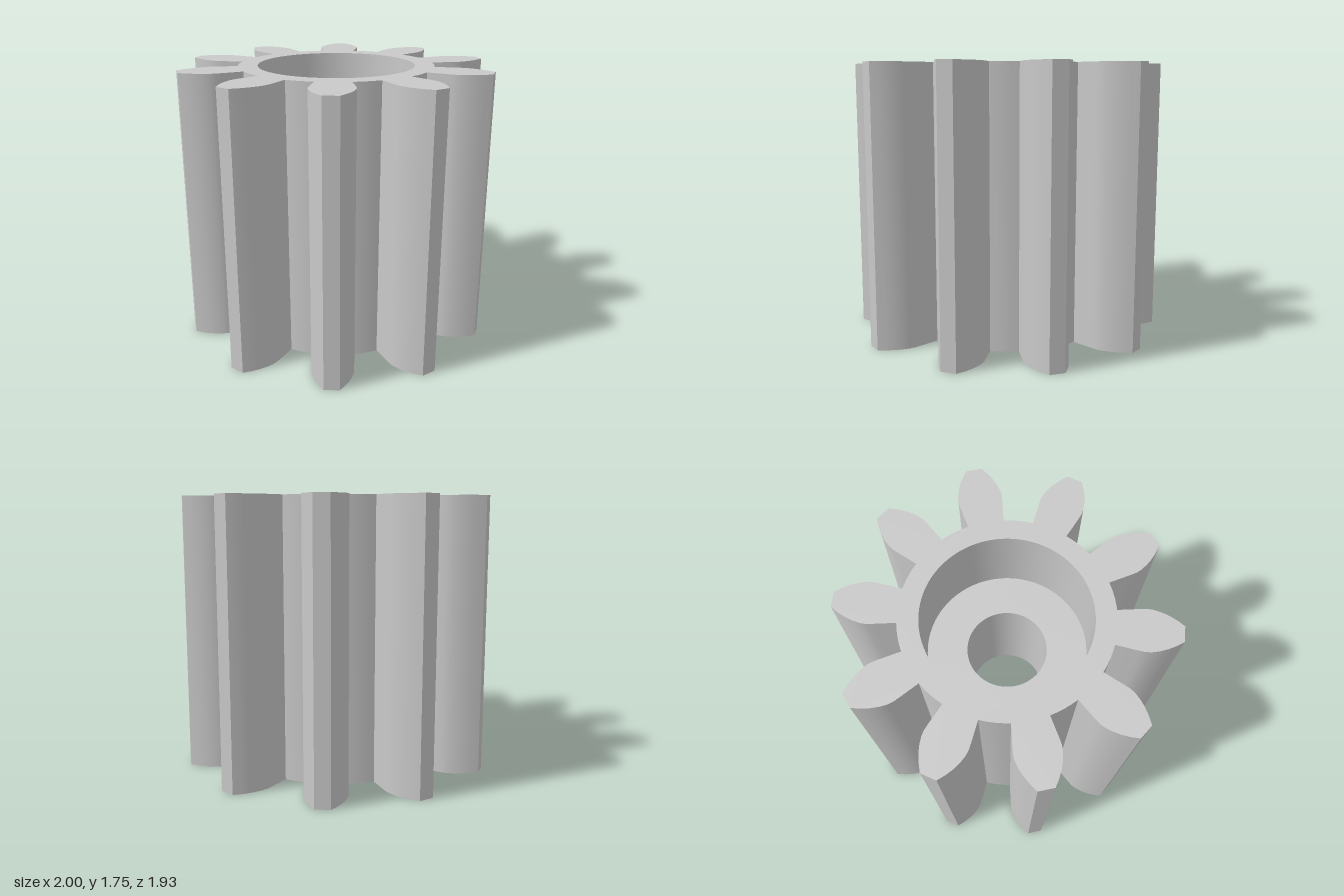
import * as THREE from 'three';
import { toCreasedNormals } from 'three/addons/utils/BufferGeometryUtils.js';

const TEETH = 10, HEIGHT = 1.75, BORE = 0.5, SHAFT = 0.25;
const WEB_BOTTOM = 0.5, WEB_TOP = 1.25;

// Half of a tooth from root to tip: [distance from axis, half width]
const FLANK = [
  [0.615, 0.107], [0.745, 0.127], [0.785, 0.132], [0.82, 0.13],
  [0.865, 0.119], [0.91, 0.102], [0.955, 0.078], [1, 0.048],
];

// Closed gear outline: up one flank, across the tip, down the other, along the root arc
function gearOutline() {
  const points = [];
  const pitch = (2 * Math.PI) / TEETH;
  const [rootX, rootY] = FLANK[0];
  const rootRadius = Math.hypot(rootX, rootY);
  const rootAngle = Math.atan2(rootY, rootX);
  const origin = new THREE.Vector2();
  for (let i = 0; i < TEETH; i++) {
    const a = i * pitch;
    const add = (x, y) => points.push(new THREE.Vector2(x, y).rotateAround(origin, a));
    FLANK.forEach(([r, w]) => add(r, -w));
    [...FLANK].reverse().forEach(([r, w]) => add(r, w));
    for (let k = 1; k < 4; k++) {
      const t = rootAngle + (k / 4) * (pitch - 2 * rootAngle);
      add(rootRadius * Math.cos(t), rootRadius * Math.sin(t));
    }
  }
  return points;
}

export function createModel() {
  const group = new THREE.Group();
  group.name = 'pinionGear';
  const metal = new THREE.MeshStandardMaterial({ color: 0xc9c9c9 });
  metal.name = 'light grey metal';

  // Toothed body with a wide bore
  const shape = new THREE.Shape(gearOutline());
  shape.holes.push(new THREE.Path().absarc(0, 0, BORE, 0, 2 * Math.PI, true));
  const bodyGeometry = new THREE.ExtrudeGeometry(shape, {
    depth: HEIGHT, bevelEnabled: false, curveSegments: 48,
  });
  bodyGeometry.rotateX(-Math.PI / 2);
  const body = new THREE.Mesh(toCreasedNormals(bodyGeometry, 0.5), metal);
  body.name = 'toothedBody';
  group.add(body);

  // Recessed web inside the bore: top face, shaft hole wall, underside
  const rim = BORE + 0.005;
  const profile = [[rim, WEB_TOP], [SHAFT, WEB_TOP], [SHAFT, WEB_BOTTOM], [rim, WEB_BOTTOM]]
    .map(([r, y]) => new THREE.Vector2(r, y));
  const webGeometry = new THREE.LatheGeometry(profile, 96);
  const web = new THREE.Mesh(toCreasedNormals(webGeometry, 0.5), metal);
  web.name = 'innerWeb';
  group.add(web);

  return group;
}
